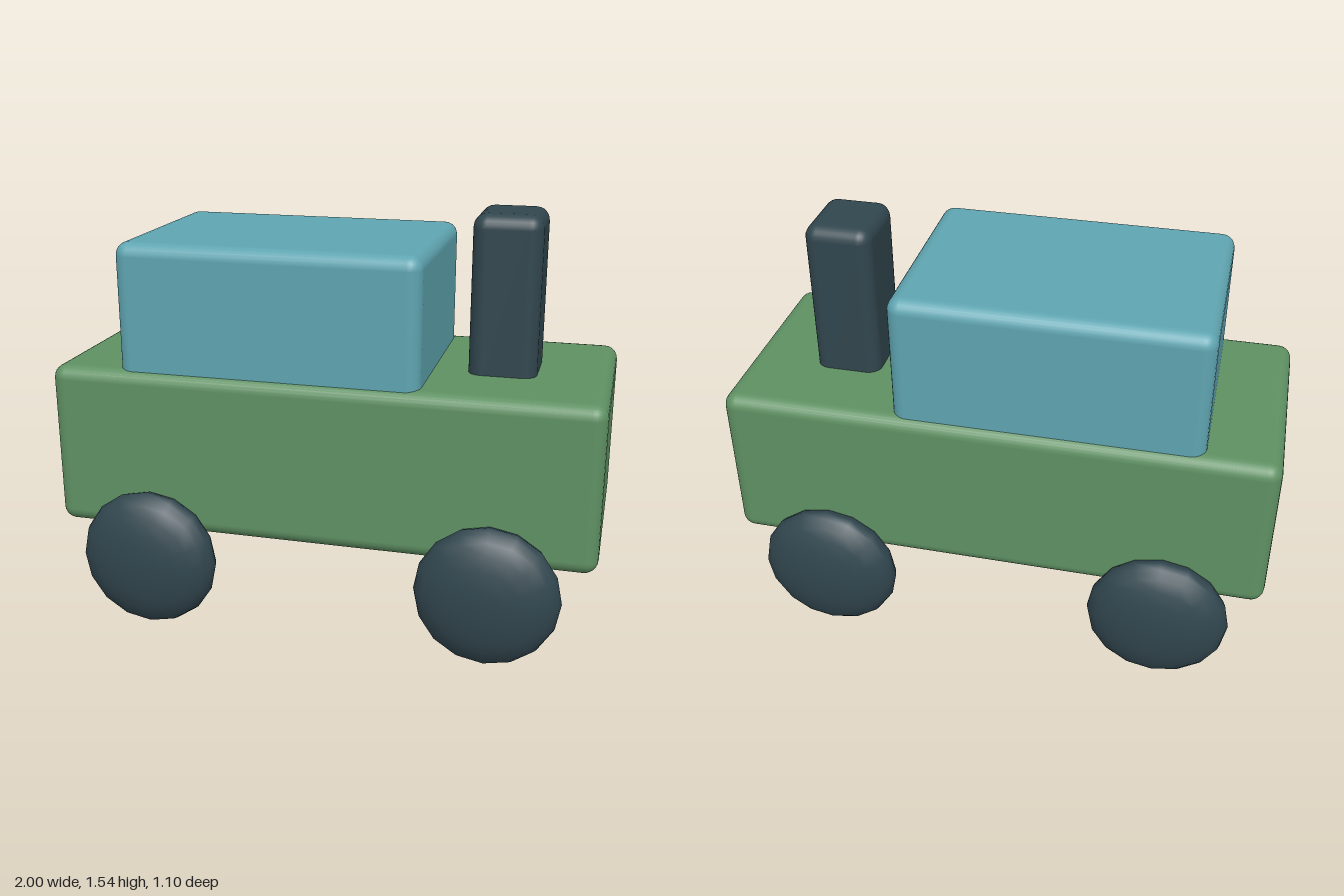
import * as THREE from 'three';
import { RoundedBoxGeometry } from 'three/addons/geometries/RoundedBoxGeometry.js';

const paint = (name, color) => Object.assign(new THREE.MeshStandardMaterial({ color }), { name });

export function createModel() {
  const model = new THREE.Group();
  model.name = 'toyEngine';
  const green = paint('bodyGreen', 0x5f9163);
  const teal = paint('cabinTeal', 0x5fa5b1);
  const slate = paint('darkSlate', 0x31464e);

  // Rounded block given by its x and y limits and its width, centred on z = 0
  function block(name, material, x0, x1, y0, y1, width) {
    const geometry = new RoundedBoxGeometry(x1 - x0, y1 - y0, width, 3, 0.05);
    const mesh = new THREE.Mesh(geometry, material);
    mesh.name = name;
    mesh.position.set((x0 + x1) / 2, (y0 + y1) / 2, 0);
    model.add(mesh);
  }

  // Cabin and chimney are sunk into the body so their sides meet it cleanly
  block('body', green, -1, 1, 0.36, 0.97, 0.84);
  block('cabin', teal, -0.74, 0.365, 0.87, 1.43, 0.785);
  block('chimney', slate, 0.49, 0.735, 0.87, 1.54, 0.29);

  // Four flattened ball wheels, with their poles along z
  const wheelGeometry = new THREE.SphereGeometry(0.26, 16, 12);
  wheelGeometry.rotateX(Math.PI / 2).scale(1, 1, 0.4);
  for (const [end, x] of [['Right', -0.63], ['Left', 0.63]]) {
    for (const [side, z] of [['front', 0.447], ['back', -0.447]]) {
      const wheel = new THREE.Mesh(wheelGeometry, slate);
      wheel.name = `${side}${end}Wheel`;
      wheel.position.set(x, 0.263, z);
      model.add(wheel);
    }
  }
  return model;
}
